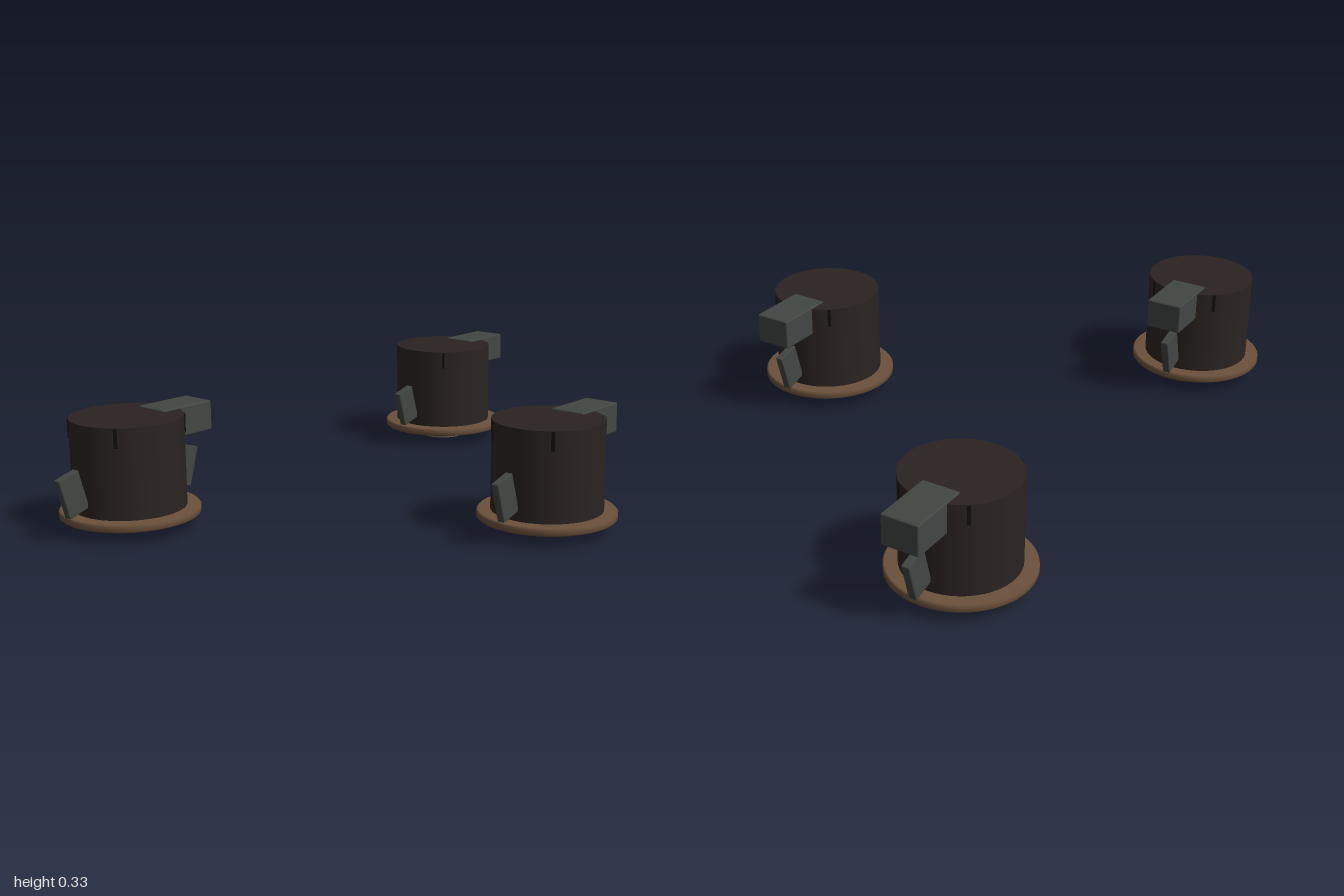
import * as THREE from 'three';
import { RoundedBoxGeometry } from 'three/addons/geometries/RoundedBoxGeometry.js';

const paint = (color) => new THREE.MeshStandardMaterial({ color });
const black = paint(0x2a2320);
const slotBlack = paint(0x100d0c);
const grey = paint(0x424643);
const bronze = paint(0x6b513b);
const darkBronze = paint(0x46362a);
const steel = paint(0x77706a);
const glass = paint(0x94826a);

function add(parent, name, geometry, material, x = 0, y = 0, z = 0) {
  const mesh = new THREE.Mesh(geometry, material);
  mesh.name = name;
  mesh.position.set(x, y, z);
  parent.add(mesh);
  return mesh;
}

// Short disc between two heights
function disc(parent, name, radius, low, high, material, lowRadius = radius) {
  return add(parent, name, new THREE.CylinderGeometry(radius, lowRadius, high - low, 48),
    material, 0, (low + high) / 2, 0);
}

function createDownlight() {
  const lamp = new THREE.Group();
  lamp.name = 'downlight';

  // Cylindrical housing
  disc(lamp, 'housing', 0.163, 0.05, 0.326, black);

  // Trim flange with softened edges
  const profile = [[0, 0.036], [0.197, 0.036], [0.203, 0.041], [0.203, 0.056],
    [0.198, 0.061], [0, 0.061]].map(([r, y]) => new THREE.Vector2(r, y));
  const flange = new THREE.LatheGeometry(profile, 48).toNonIndexed();
  flange.computeVertexNormals();
  add(lamp, 'trimFlange', new THREE.LatheGeometry(profile, 48), bronze);

  // Stepped baffle and lens below the flange
  disc(lamp, 'outerBaffle', 0.148, 0.027, 0.04, darkBronze, 0.142);
  disc(lamp, 'steelRing', 0.122, 0.02, 0.03, steel, 0.118);
  disc(lamp, 'innerBaffle', 0.105, 0.013, 0.022, darkBronze, 0.1);
  disc(lamp, 'lensRing', 0.09, 0.007, 0.015, steel, 0.086);
  disc(lamp, 'lens', 0.076, 0, 0.01, glass, 0.072);

  // Vent slots around the top of the housing
  for (const sx of [-1, 1]) {
    for (const sz of [-1, 1]) {
      const slot = add(lamp, 'ventSlot', new THREE.BoxGeometry(0.01, 0.055, 0.01),
        slotBlack, sx * 0.126, 0.297, sz * 0.1);
      slot.rotation.y = Math.atan2(sx * 0.126, sz * 0.1);
    }
  }

  // Splayed spring clips
  for (const side of [-1, 1]) {
    const clip = add(lamp, 'springClip', new RoundedBoxGeometry(0.072, 0.12, 0.024, 1, 0.003),
      grey, side * 0.207, 0.138, 0);
    clip.rotation.z = -side * 0.28;
  }

  // Junction box
  add(lamp, 'junctionBox', new RoundedBoxGeometry(0.186, 0.09, 0.11, 2, 0.005),
    grey, 0.185, 0.286, 0);
  return lamp;
}

export function createModel() {
  const model = new THREE.Group();
  model.name = 'downlightSet';
  for (const [x, z] of [[-0.738, -0.477], [0.722, -0.477], [-0.008, 0.477]]) {
    const lamp = createDownlight();
    lamp.position.set(x, 0, z);
    model.add(lamp);
  }
  return model;
}
